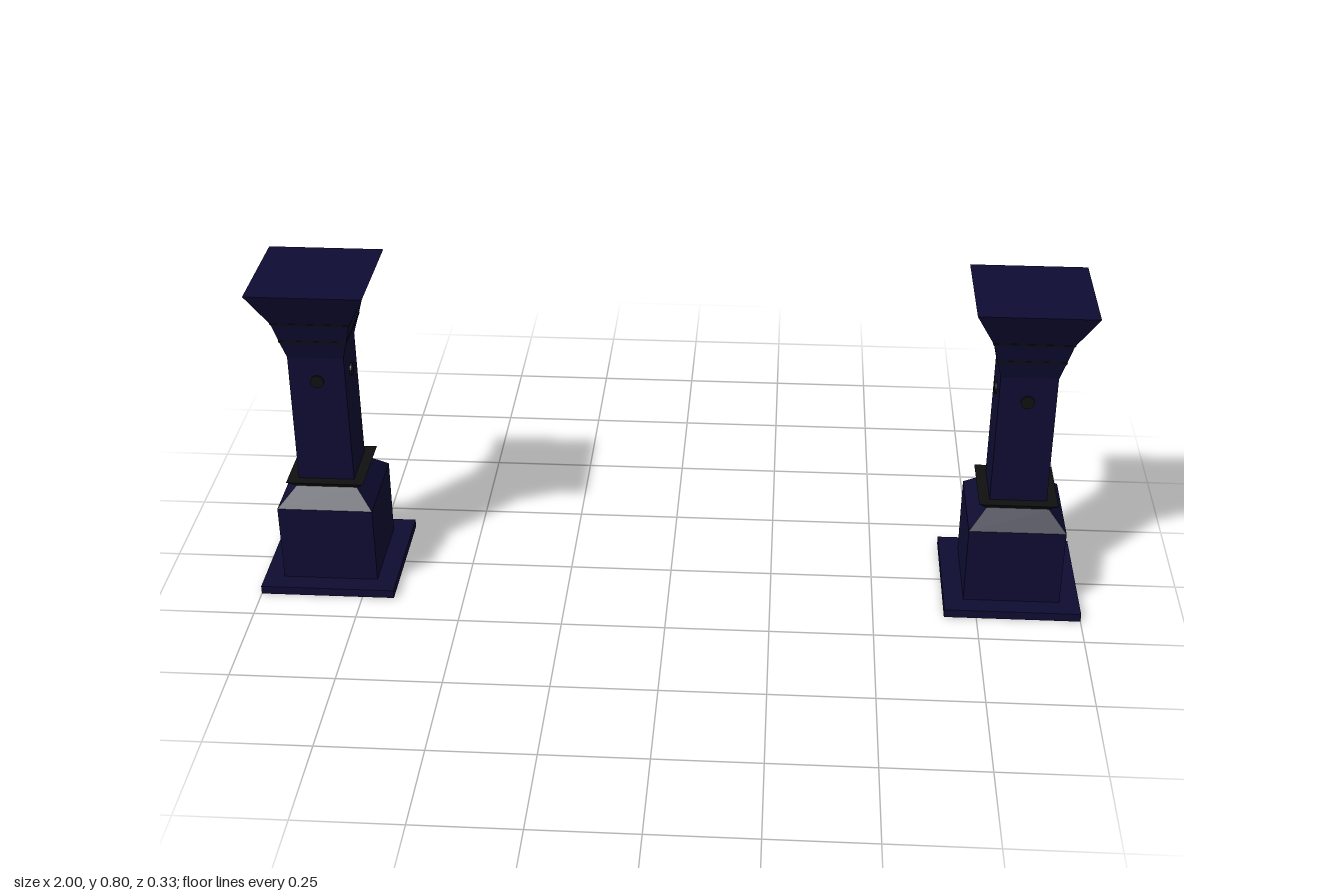
import * as THREE from 'three';

const navy = new THREE.MeshStandardMaterial({ color: 0x0e0c32, flatShading: true });
const black = new THREE.MeshStandardMaterial({ color: 0x101010, flatShading: true });

// Square block from y0 to y1 with half widths w0 (bottom) and w1 (top)
function block(name, y0, y1, w0, w1, material) {
  const geometry = new THREE.CylinderGeometry(w1 * Math.SQRT2, w0 * Math.SQRT2, y1 - y0, 4);
  geometry.rotateY(Math.PI / 4);
  geometry.translate(0, (y0 + y1) / 2, 0);
  const mesh = new THREE.Mesh(geometry, material);
  mesh.name = name;
  return mesh;
}

function createPillar(name) {
  const pillar = new THREE.Group();
  pillar.name = name;
  pillar.add(
    block('footPlate', 0, 0.021, 0.164, 0.164, navy),
    block('pedestal', 0.021, 0.217, 0.116, 0.116, navy),
    block('pedestalShoulder', 0.217, 0.26, 0.116, 0.074, navy),
    block('collar', 0.26, 0.279, 0.074, 0.094, black),
    block('shaft', 0.279, 0.61, 0.068, 0.067, navy),
    // Capital widens in three steps, parted by thin dark bands
    block('capitalLower', 0.61, 0.655, 0.067, 0.079, navy),
    block('lowerBand', 0.654, 0.66, 0.08, 0.081, black),
    block('capitalMiddle', 0.655, 0.708, 0.079, 0.092, navy),
    block('upperBand', 0.706, 0.711, 0.0925, 0.0945, black),
    block('capitalUpper', 0.708, 0.8, 0.092, 0.138, navy)
  );

  // One round stud on each face of the shaft
  for (let i = 0; i < 4; i++) {
    const geometry = new THREE.CylinderGeometry(0.016, 0.016, 0.012, 20);
    geometry.rotateX(Math.PI / 2);
    geometry.translate(0, 0.547, 0.066);
    geometry.rotateY((i * Math.PI) / 2);
    const stud = new THREE.Mesh(geometry, black);
    stud.name = 'stud' + (i + 1);
    pillar.add(stud);
  }
  return pillar;
}

export function createModel() {
  const model = new THREE.Group();
  model.name = 'pillarPair';
  for (const side of [1, -1]) {
    const pillar = createPillar(side > 0 ? 'leftPillar' : 'rightPillar');
    pillar.position.x = side * 0.836;
    model.add(pillar);
  }
  return model;
}
